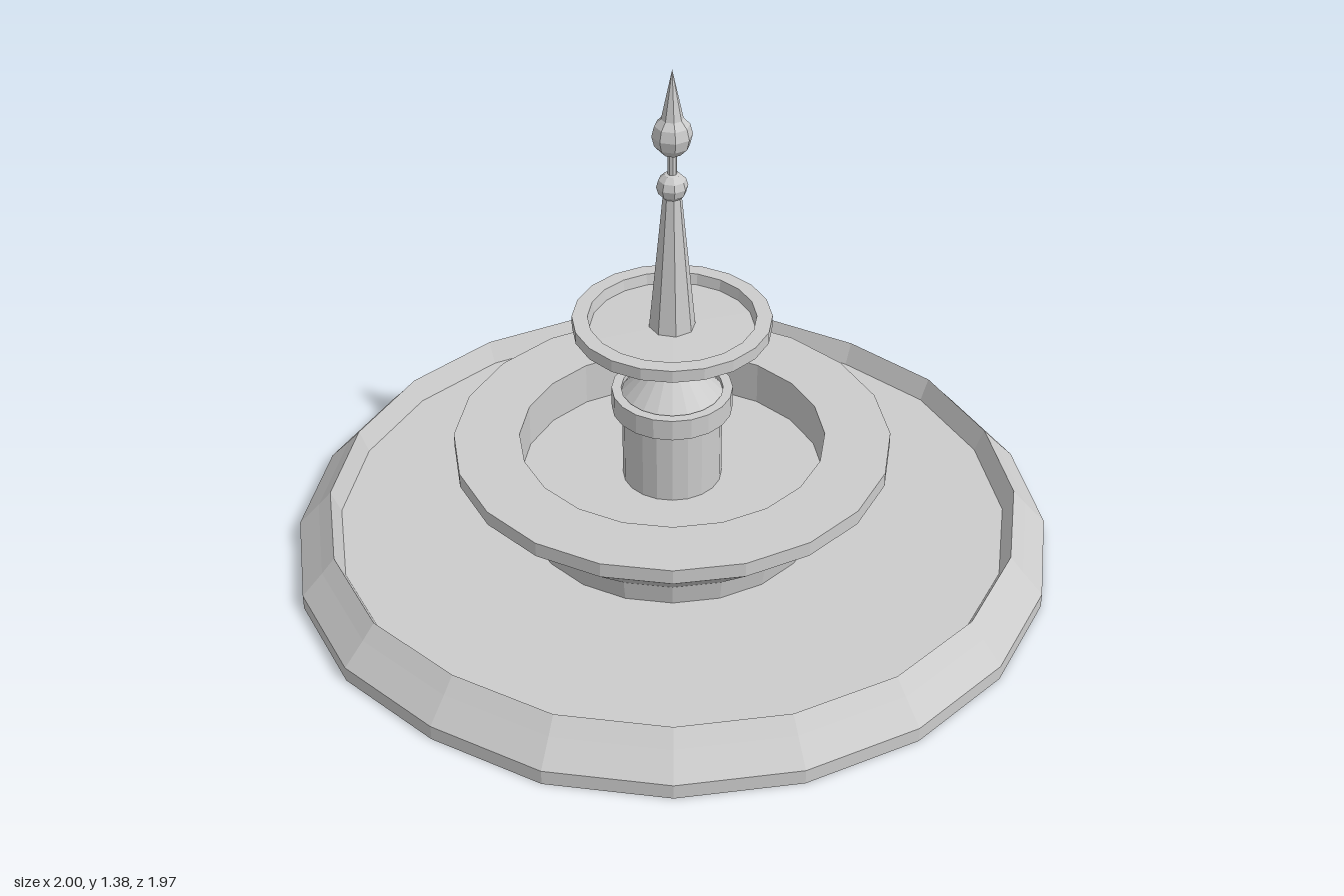
import * as THREE from 'three';

const stone = new THREE.MeshStandardMaterial({ color: 0xcccccc });
stone.name = 'stone';
stone.flatShading = true;
stone.side = THREE.DoubleSide;

// Turned part: profile of [radius, height] pairs, running up the outside
function turned(name, profile, sides) {
  const points = profile.map(([r, y]) => new THREE.Vector2(r, y));
  const mesh = new THREE.Mesh(new THREE.LatheGeometry(points, sides), stone);
  mesh.name = name;
  return mesh;
}

function ball(name, radius, y, stretch) {
  const mesh = new THREE.Mesh(new THREE.SphereGeometry(radius, 8, 6), stone);
  mesh.name = name;
  mesh.position.y = y;
  mesh.scale.y = stretch;
  return mesh;
}

export function createModel() {
  const fountain = new THREE.Group();
  fountain.name = 'fountain';

  // Wide ground pool with a rounded outer rim, open underneath
  const pool = turned('pool', [
    [1, 0], [1, 0.04], [0.945, 0.1], [0.911, 0.14], [0.885, 0.08], [0, 0.08],
  ], 20);
  // The front and back corners are slightly flattened
  const pos = pool.geometry.attributes.position;
  for (let i = 0; i < pos.count; i++) {
    if (Math.abs(pos.getX(i)) < 1e-4) pos.setZ(i, pos.getZ(i) * 0.987);
  }

  // Lower bowl on a short foot that passes through the pool floor
  const lowerBowl = turned('lowerBowl', [
    [0.377, 0.015], [0.4, 0.14], [0.572, 0.29], [0.572, 0.33],
    [0.4, 0.33], [0.4, 0.21], [0, 0.21],
  ], 20);

  // Column with a recessed collar
  const column = turned('column', [
    [0.13, 0.21], [0.13, 0.42], [0.157, 0.42], [0.157, 0.478],
    [0.132, 0.478], [0.132, 0.465],
  ], 20);
  const columnCone = turned('columnCone', [[0.132, 0.465], [0.045, 0.56]], 20);

  // Upper bowl with a shallow basin
  const upperBowl = turned('upperBowl', [
    [0.045, 0.56], [0.255, 0.662], [0.255, 0.695],
    [0.215, 0.695], [0.21, 0.665], [0, 0.67],
  ], 20);

  // Spire, neck and pointed finial
  const spire = turned('spire', [[0.06, 0.665], [0.024, 1.04]], 8);
  const neck = turned('neck', [[0.012, 1.09], [0.012, 1.17]], 8);
  const spike = turned('spike', [[0.03, 1.245], [0, 1.385]], 8);

  fountain.add(
    pool, lowerBowl, column, columnCone, upperBowl, spire, neck, spike,
    ball('lowerBall', 0.04, 1.07, 0.95), ball('upperBall', 0.051, 1.21, 1.08),
  );
  return fountain;
}
